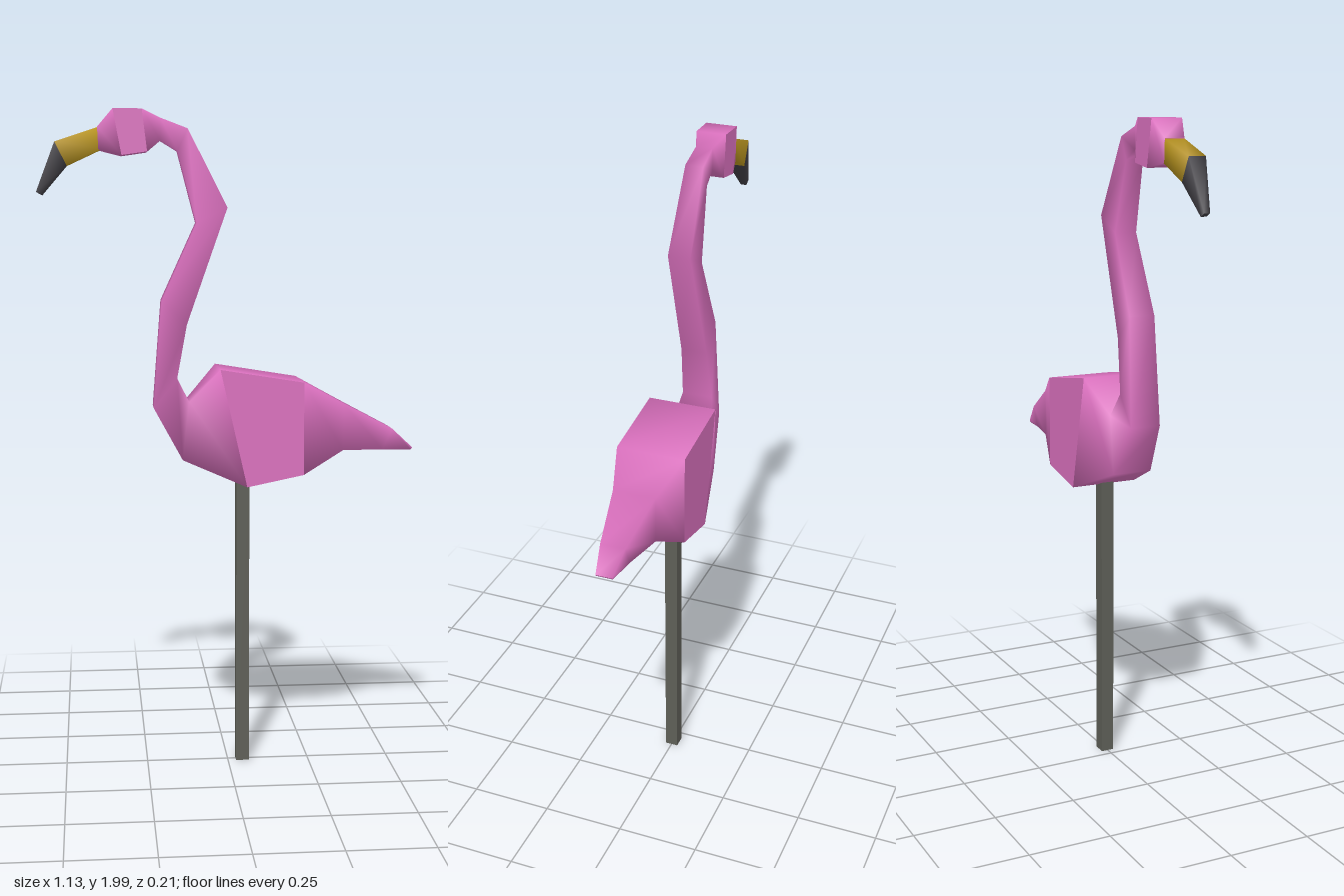
import * as THREE from 'three';
import { mergeGeometries } from 'three/addons/utils/BufferGeometryUtils.js';

function material(name, color) {
  const m = new THREE.MeshStandardMaterial({ color });
  m.name = name;
  return m;
}

// Loft of four-cornered sections [topX, topY, bottomX, bottomY, halfWidth], running from tail to beak.
// flatSides lists segments whose side panels are flat. Returns a function that cuts out a range of segments.
function loft(sections, flatSides = []) {
  const points = sections.flatMap(([tx, ty, bx, by, w]) => [tx, ty, w, tx, ty, -w, bx, by, -w, bx, by, w]);
  const position = new THREE.Float32BufferAttribute(points, 3);
  const indexed = (index) => {
    const g = new THREE.BufferGeometry();
    g.setAttribute('position', position);
    g.setIndex(index);
    return g;
  };
  const faces = (from, to, wantFlat) => {
    const index = [];
    for (let i = from; i < to; i++) {
      for (let k = 0; k < 4; k++) {
        const flat = k % 2 === 1 && flatSides.includes(i);
        if (flat !== wantFlat) continue;
        const n = (k + 1) % 4, a = i * 4 + k, b = i * 4 + n, c = b + 4, d = a + 4;
        index.push(a, b, c, a, c, d);
      }
    }
    return index;
  };
  const last = sections.length - 1;
  const smooth = indexed(faces(0, last, false));
  smooth.computeVertexNormals();

  return (from = 0, to = last) => {
    const part = smooth.clone();
    part.setIndex(faces(from, to, false));
    const flatIndex = faces(from, to, true);
    if (from === 0) flatIndex.push(2, 1, 0, 3, 2, 0);
    if (to === last) {
      const e = last * 4;
      flatIndex.push(e, e + 1, e + 2, e, e + 2, e + 3);
    }
    const pieces = [part.toNonIndexed()];
    if (flatIndex.length) {
      const flat = indexed(flatIndex).toNonIndexed();
      flat.computeVertexNormals();
      pieces.push(flat);
    }
    return mergeGeometries(pieces);
  };
}

export function createModel() {
  const group = new THREE.Group();
  const pink = material('pink', 0xd970bd);
  const yellow = material('beak yellow', 0xb8941f);
  const black = material('beak tip black', 0x403e44);
  const grey = material('pole grey', 0x5e5f57);

  const add = (name, geometry, mat) => {
    const mesh = new THREE.Mesh(geometry, mat);
    mesh.name = name;
    group.add(mesh);
    return mesh;
  };

  // One continuous skin from tail through body and neck to head
  const bird = loft([
    [0.565, 0.98, 0.56, 0.974, 0.025], // tail tip
    [0.5, 1.04, 0.47, 0.977, 0.038],
    [0.345, 1.122, 0.345, 0.98, 0.065],
    [0.22, 1.19, 0.22, 0.912, 0.105], // widest part of the body
    [-0.03, 1.23, 0.05, 0.877, 0.105],
    [-0.12, 1.13, -0.14, 0.955, 0.062], // breast
    [-0.155, 1.2, -0.225, 1.11, 0.047], // base of neck
    [-0.125, 1.36, -0.2, 1.43, 0.04],
    [-0.003, 1.705, -0.095, 1.66, 0.034],
    [-0.12, 1.935, -0.15, 1.87, 0.027],
    [-0.2, 1.965, -0.2, 1.9, 0.025], // back of head
    [-0.255, 1.99, -0.24, 1.867, 0.045],
    [-0.34, 1.99, -0.315, 1.856, 0.047],
    [-0.385, 1.938, -0.382, 1.872, 0.03],
  ], [3, 11]);
  add('tail', bird(0, 3), pink);
  add('body', bird(3, 6), pink);
  add('neck', bird(6, 10), pink);
  add('head', bird(10, 13), pink);

  // Bent beak with a dark tip
  const beak = loft([
    [-0.38, 1.938, -0.375, 1.873, 0.03],
    [-0.51, 1.895, -0.475, 1.826, 0.026],
    [-0.566, 1.75, -0.548, 1.74, 0.009],
  ]);
  add('beak', beak(0, 1), yellow);
  add('beakTip', beak(1, 2), black);

  // Square pole
  add('pole', new THREE.BoxGeometry(0.04, 0.92, 0.04), grey).position.set(0.045, 0.46, 0);

  return group;
}
